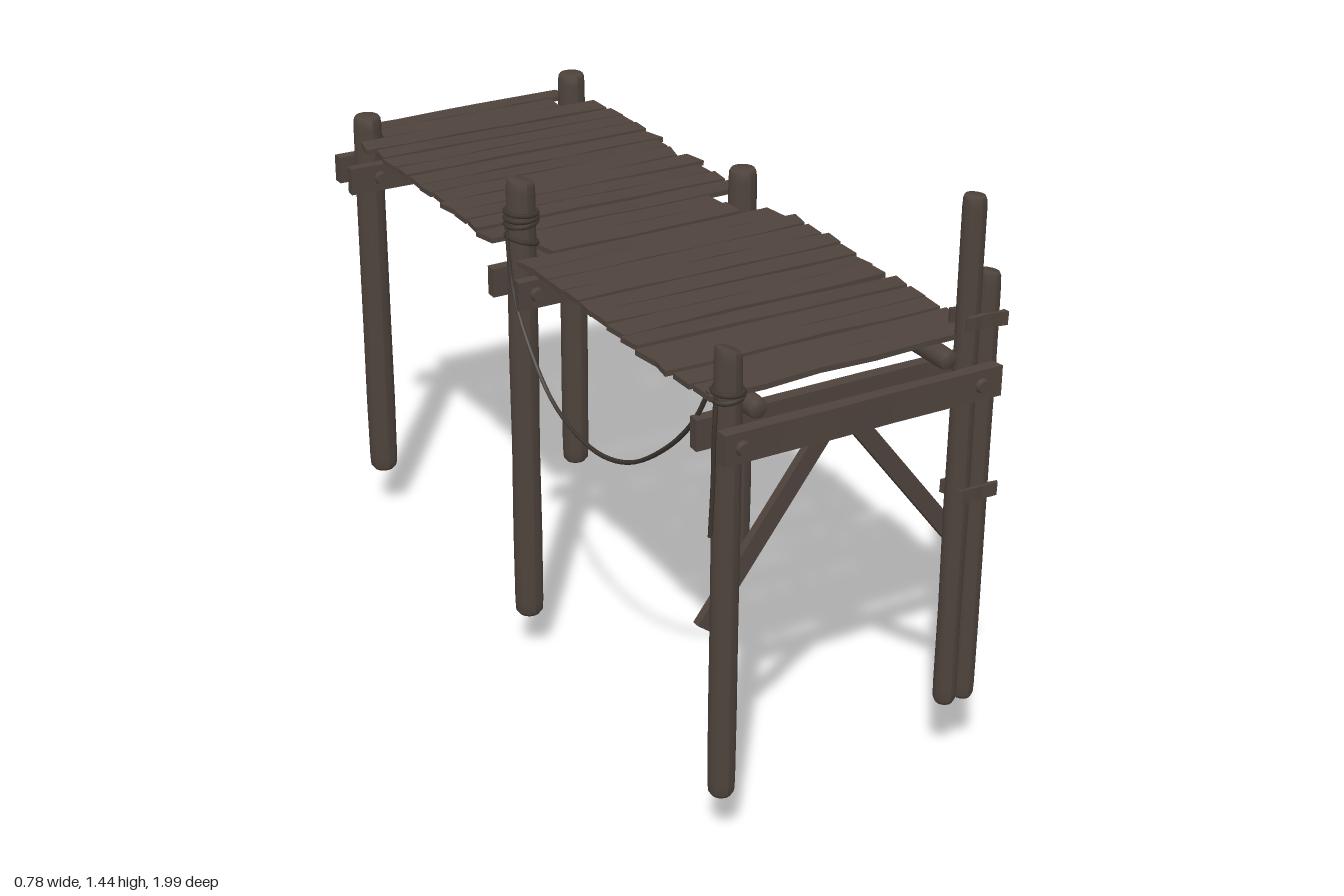
import * as THREE from 'three';

export function createModel() {
  const root = new THREE.Group();
  const wood = new THREE.MeshStandardMaterial({ color: 0x4e433c });
  wood.name = 'weathered wood';
  const ropeMat = new THREE.MeshStandardMaterial({ color: 0x3d352f });
  ropeMat.name = 'dark rope';

  let seed = 7;
  const rnd = (a) => {
    seed = (seed * 16807) % 2147483647;
    return (seed / 2147483647 - 0.5) * 2 * a;
  };
  const add = (name, geo, mat = wood, x = 0, y = 0, z = 0) => {
    const m = new THREE.Mesh(geo, mat);
    m.name = name;
    m.position.set(x, y, z);
    root.add(m);
    return m;
  };

  // Round log standing on y = 0, slightly uneven, with worn ends and an optional slanted top
  const logGeometry = (r, h, slant = 0) => {
    const profile = [[0, 0], [0.75, 0.002], [0.95, 0.012], [1, 0.04]];
    for (let i = 1; i < 5; i++) profile.push([1 + rnd(0.04), (h * i) / 5]);
    profile.push([0.98, h - 0.03], [0.94, h - 0.008], [0.82, h], [0, h]);
    const g = new THREE.LatheGeometry(profile.map(([a, y]) => new THREE.Vector2(a * r, y)), 14);
    const p = g.attributes.position;
    for (let i = 0; i < p.count; i++) {
      if (p.getY(i) > h - 0.035) p.setY(i, p.getY(i) - slant * (p.getX(i) / r + 1) / 2);
    }
    g.computeVertexNormals();
    return g;
  };

  // Rough sawn board along x with ragged edges
  const boardGeometry = (w, h, d, rough) => {
    const n = 5;
    const g = new THREE.BoxGeometry(w, h, d, n, 1, 1).toNonIndexed();
    const edge = [1, -1].map(() => Array.from({ length: n + 1 }, () => [rnd(rough), rnd(rough * 0.35)]));
    const p = g.attributes.position;
    for (let i = 0; i < p.count; i++) {
      const col = Math.round((p.getX(i) / w + 0.5) * n);
      const e = edge[p.getZ(i) > 0 ? 0 : 1][col];
      const atEnd = col === 0 || col === n;
      p.setXYZ(i, p.getX(i) + (atEnd ? e[0] * 2 : 0), p.getY(i) + e[1], p.getZ(i) + e[0]);
    }
    g.computeVertexNormals();
    return g;
  };

  // Posts: x, z, radius, bottom, top, slant of the top
  const posts = [
    ['frontLeftPost', 0.293, 0.92, 0.027, 0.18, 1.44, 0.005],
    ['frontLeftSidePost', 0.345, 0.92, 0.026, 0.18, 1.26, 0.01],
    ['frontRightPost', -0.312, 0.92, 0.031, 0.13, 1.23, 0.025],
    ['middleLeftPost', 0.295, -0.005, 0.036, 0.12, 1.2, 0],
    ['middleRightPost', -0.315, -0.005, 0.036, 0.12, 1.29, 0.015],
    ['backLeftPost', 0.295, -0.9, 0.038, 0, 1.19, 0],
    ['backRightPost', -0.315, -0.9, 0.038, 0.13, 1.17, 0],
  ];
  for (const [name, x, z, r, y0, y1, slant] of posts) add(name, logGeometry(r, y1 - y0, slant), wood, x, y0, z);

  // Paired cross beams clamped on each row of posts: z, right end, left end, bolt direction
  const beams = [
    [0.965, -0.358, 0.345, 1], [0.875, -0.37, 0.36, -1],
    [0.047, -0.36, 0.383, 1], [-0.06, -0.375, 0.365, -1],
    [-0.85, -0.392, 0.37, 1], [-0.952, -0.387, 0.378, -1],
  ];
  for (const [z, x0, x1, dir] of beams) {
    add('crossBeam', boardGeometry(x1 - x0, 0.072, 0.03, 0.002), wood, (x0 + x1) / 2, 1.017, z);
    for (const x of [-0.312, 0.295]) {
      const bolt = add('bolt', new THREE.CylinderGeometry(0.015, 0.018, 0.014, 10), wood, x, 1.017, z + dir * 0.021);
      bolt.rotation.x = dir * Math.PI / 2;
    }
  }

  // Lengthwise logs, overlapping side by side at the middle row
  for (const [x, z0, z1] of [[-0.255, -0.085, 0.95], [0.227, -0.085, 0.95], [-0.205, -0.99, 0.06], [0.175, -0.99, 0.06]]) {
    const log = add('deckLog', logGeometry(0.025, z1 - z0), wood, x, 1.078, z0);
    log.rotation.x = Math.PI / 2;
  }

  // Deck planks, cut short where they pass between posts
  const shortPlanks = [1, 13, 14];
  for (let i = 0; i < 27; i++) {
    const short = shortPlanks.includes(i);
    const first = i === 0;
    const x0 = (short ? -0.275 : first ? -0.325 : -0.356) + rnd(0.008);
    const x1 = (short ? 0.257 : first ? 0.315 : 0.34) + rnd(0.012);
    const plank = add('plank', boardGeometry(x1 - x0, 0.013, 0.064, 0.004), wood,
      (x0 + x1) / 2, 1.109 + rnd(0.002), -0.965 + i * 0.071);
    plank.rotation.set(rnd(0.04), rnd(0.008), rnd(0.004));
  }

  // Diagonal braces under the front beam
  const brace = (x0, y0, x1, y1) => {
    const b = add('brace', new THREE.BoxGeometry(Math.hypot(x1 - x0, y1 - y0), 0.042, 0.02), wood,
      (x0 + x1) / 2, (y0 + y1) / 2, 0.885);
    b.rotation.z = Math.atan2(y1 - y0, x1 - x0);
  };
  brace(-0.015, 0.995, -0.345, 0.55);
  brace(0.0, 0.995, 0.305, 0.61);

  // Small cleats joining the doubled front post
  for (const [y, x] of [[1.152, 0.318], [0.733, 0.328]]) {
    for (const z of [0.889, 0.95]) {
      const c = add('cleat', boardGeometry(0.11, 0.032, 0.012, 0.003), wood, x, y, z);
      c.rotation.z = -0.04;
    }
  }

  // Sagging rope between the front and middle posts
  const tube = (name, pts, r, closed = false) => add(name, new THREE.TubeGeometry(
    new THREE.CatmullRomCurve3(pts.map((p) => new THREE.Vector3(...p)), closed), 40, r, 6, closed), ropeMat);
  tube('saggingRope', [
    [-0.345, 1.12, 0.9], [-0.352, 1.03, 0.85], [-0.354, 0.92, 0.74], [-0.354, 0.81, 0.57], [-0.354, 0.772, 0.4],
    [-0.354, 0.81, 0.22], [-0.354, 0.92, 0.09], [-0.354, 1.03, 0.02], [-0.352, 1.19, -0.01],
  ], 0.0055);

  // Rope turns around the posts
  const coil = (x, y, z, r, tilt) => {
    const t = add('ropeTurn', new THREE.TorusGeometry(r, 0.006, 6, 18), ropeMat, x, y, z);
    t.rotation.set(Math.PI / 2, tilt, 0);
  };
  [1.178, 1.19, 1.203].forEach((y, i) => coil(-0.315, y, -0.005, 0.038, 0.12 - i * 0.1));
  coil(-0.315, 1.135, -0.005, 0.038, -0.3);
  [1.11, 1.123].forEach((y, i) => coil(-0.312, y, 0.92, 0.033, 0.15 - i * 0.2));

  // Loose rope end hanging by the front post
  tube('ropeEnd', [[-0.342, 1.115, 0.925], [-0.35, 1.03, 0.93], [-0.348, 0.92, 0.925], [-0.35, 0.79, 0.92]], 0.005);

  return root;
}
